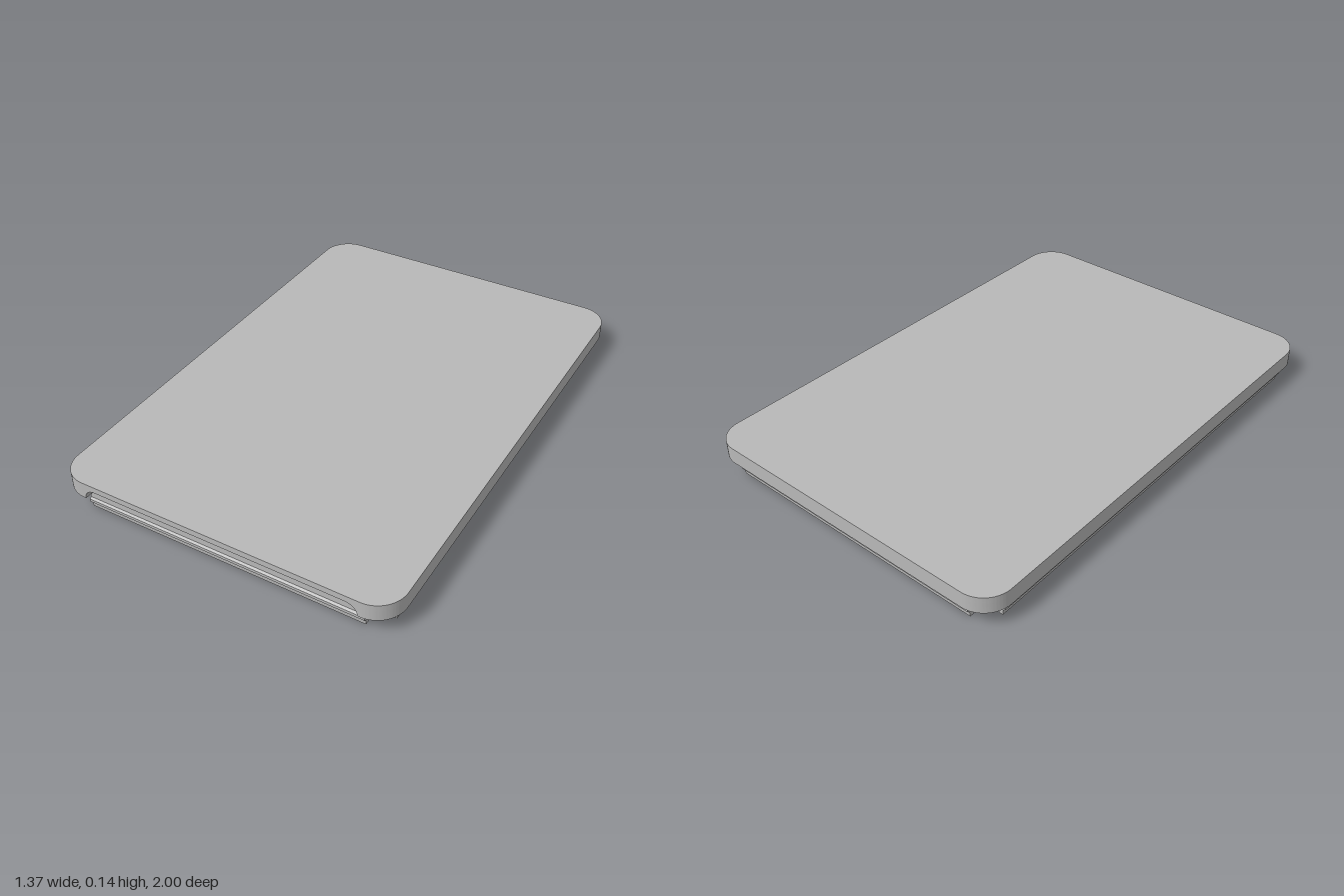
import * as THREE from 'three';
import { toCreasedNormals } from 'three/addons/utils/BufferGeometryUtils.js';

const W = 0.685, L = 1, R = 0.115;        // lid half width, half length, corner radius
const TOP = 0.14, NOTCH_TOP = 0.115, RIM_BOTTOM = 0.072, FLOOR = 0.082;
const NOTCH_W = 0.572, NOTCH_Z = 0.965;   // finger notch half width and back wall
const IN_X = 0.632, IN_Z = 0.945;         // inner faces of the rim and clip strips

// Rounded rectangle in the x/z plane, optionally with the finger notch on the front edge
function outline(T, w, l, r, notch = false) {
  const s = new T();
  s.moveTo(-w + r, -l);
  s.lineTo(w - r, -l);
  s.absarc(w - r, -l + r, r, -Math.PI / 2, 0);
  s.lineTo(w, l - r);
  s.absarc(w - r, l - r, r, 0, Math.PI / 2);
  if (notch) {
    s.lineTo(NOTCH_W - 0.01, l);
    s.lineTo(NOTCH_W - 0.01, NOTCH_Z);
    s.lineTo(-NOTCH_W + 0.01, NOTCH_Z);
    s.lineTo(-NOTCH_W + 0.01, l);
  }
  s.lineTo(-w + r, l);
  s.absarc(-w + r, l - r, r, Math.PI / 2, Math.PI);
  s.lineTo(-w, -l + r);
  s.absarc(-w + r, -l + r, r, Math.PI, Math.PI * 1.5);
  return s;
}

// Horizontal slab between two heights
function slab(shape, y0, y1) {
  const g = new THREE.ExtrudeGeometry(shape, { depth: y1 - y0, bevelEnabled: false, curveSegments: 16 });
  g.rotateX(Math.PI / 2).translate(0, y1, 0);
  return toCreasedNormals(g, 0.5);
}

export function createModel() {
  const group = new THREE.Group();
  const grey = new THREE.MeshStandardMaterial({ color: 0xb8b8b8 });
  grey.name = 'light grey';
  const add = (name, geometry) => {
    const mesh = new THREE.Mesh(geometry, grey);
    mesh.name = name;
    group.add(mesh);
    return mesh;
  };

  // Lid: top sheet, rim with the notch, and inner floor
  add('topSheet', slab(outline(THREE.Shape, W, L, R), NOTCH_TOP, TOP));
  const rim = outline(THREE.Shape, W, L, R, true);
  rim.holes.push(outline(THREE.Path, IN_X, IN_Z, 0.065));
  add('rim', slab(rim, RIM_BOTTOM, NOTCH_TOP));
  add('innerFloor', slab(outline(THREE.Shape, IN_X, IN_Z, 0.065), FLOOR, NOTCH_TOP));

  // Rounded upper corners of the finger notch
  const f = 0.045;
  for (const side of [-1, 1]) {
    const s = new THREE.Shape();
    const x = NOTCH_W - 0.01;
    s.moveTo(side * x, NOTCH_TOP);
    s.lineTo(side * x, NOTCH_TOP - f);
    for (let i = 1; i <= 10; i++) {
      const a = (i / 10) * Math.PI / 2;
      s.lineTo(side * (x - f + f * Math.cos(a)), NOTCH_TOP - f + f * Math.sin(a));
    }
    const g = new THREE.ExtrudeGeometry(s, { depth: L - NOTCH_Z, bevelEnabled: false });
    add('notchCorner', toCreasedNormals(g.translate(0, 0, NOTCH_Z), 0.5));
  }

  // Clip strips with a snap ridge on the outer face
  const profile = new THREE.Shape([
    [0, 0], [0.016, 0], [0.018, 0.02], [0.022, 0.025], [0.028, 0.029],
    [0.028, 0.041], [0.02, 0.047], [0.02, 0.076], [0, 0.076],
  ].map(([x, y]) => new THREE.Vector2(x, y)));
  const strip = (name, inner, halfLength, angle) => {
    const g = new THREE.ExtrudeGeometry(profile, { depth: halfLength * 2, bevelEnabled: false });
    g.translate(inner, 0, -halfLength);
    add(name, g).rotation.y = angle;
  };
  strip('leftClip', IN_X, 0.888, 0);
  strip('rightClip', IN_X, 0.888, Math.PI);
  strip('frontClip', IN_Z, NOTCH_W, -Math.PI / 2);
  strip('backClip', IN_Z, NOTCH_W, Math.PI / 2);

  return group;
}
